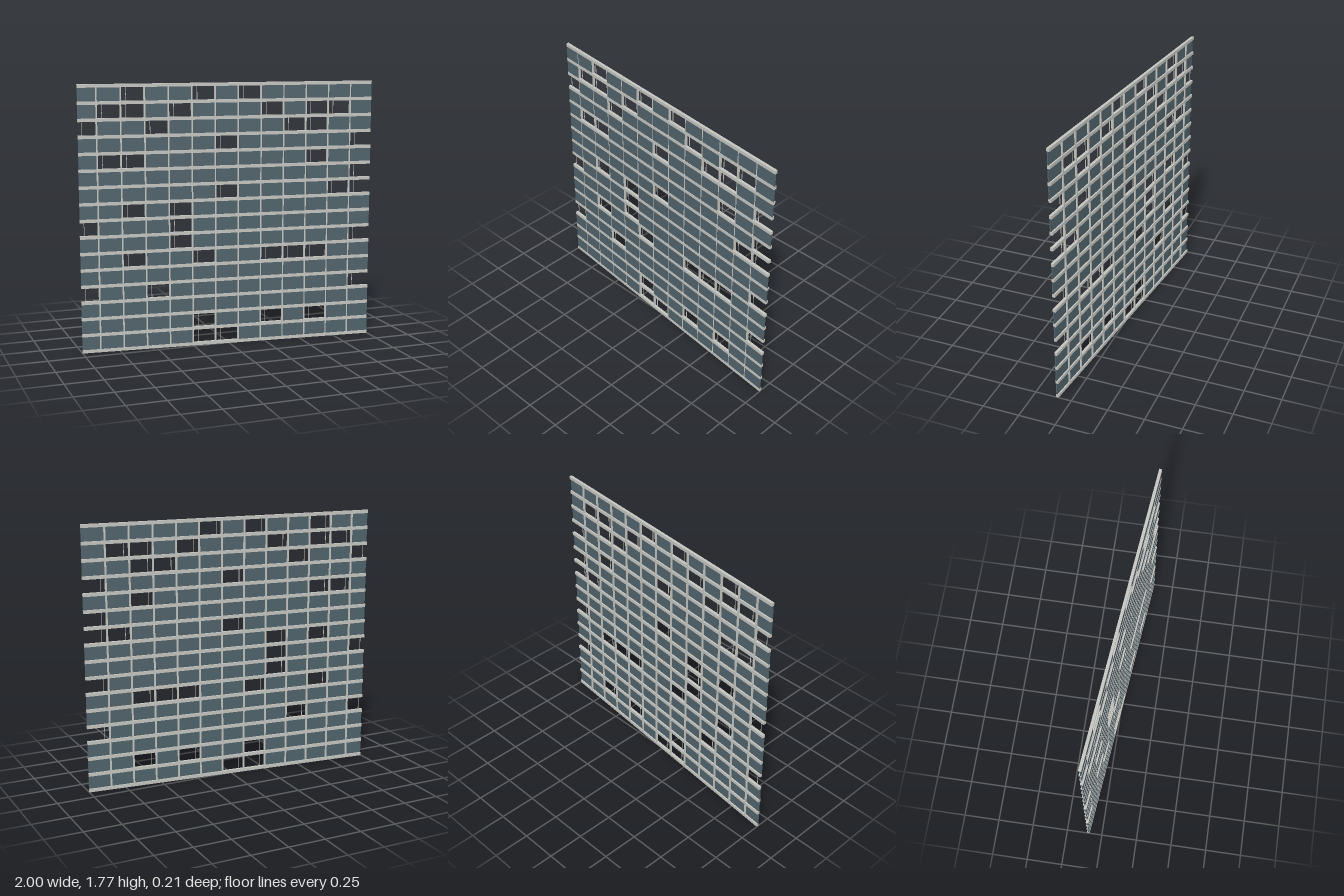
import * as THREE from 'three';

const concrete = new THREE.MeshStandardMaterial({ color: 0xc4c4c0 });
concrete.name = 'light grey concrete';
const glass = new THREE.MeshStandardMaterial({ color: 0x50636b });
glass.name = 'blue grey glass';

const ROWS = 16, COLS = 13;
const HEIGHT = 1.775, SLAB_H = 0.022, DEPTH = 0.019;
const STEP_Y = (HEIGHT - SLAB_H) / ROWS;
const ANGLE = Math.atan(0.098);

// Open bays for each storey, listed from the top down
const OPEN_BAYS = [
  [2, 5, 7], [1, 2, 4, 8, 10, 11], [0, 3, 9, 10], [6, 12],
  [1, 2, 10], [12], [6, 11, 12], [2, 4],
  [0, 4], [4, 12], [2, 5, 8, 9, 10], [],
  [0, 3, 12], [], [5, 8, 10], [5, 6],
];

export function createModel() {
  const model = new THREE.Group();
  model.name = 'facade';
  const wall = new THREE.Group();
  wall.name = 'facadeWall';
  wall.rotation.y = -ANGLE;
  model.add(wall);

  const half = (1 - Math.sin(ANGLE) * DEPTH / 2) / Math.cos(ANGLE);

  function addBox(name, material, w, h, d, x, y, z) {
    const mesh = new THREE.Mesh(new THREE.BoxGeometry(w, h, d), material);
    mesh.name = name;
    mesh.position.set(x, y, z);
    wall.add(mesh);
  }

  // Bay edges: a short first and last bay around evenly spaced mullions
  const edges = [-half];
  for (let i = 0; i < COLS - 1; i++) edges.push(-0.882 + i * 0.1577);
  edges.push(half);

  // Floor slabs
  for (let i = 0; i <= ROWS; i++) {
    addBox('floorSlab', concrete, half * 2, SLAB_H, DEPTH, 0, SLAB_H / 2 + i * STEP_Y, 0);
  }

  const clearH = STEP_Y - SLAB_H;
  for (let r = 0; r < ROWS; r++) {
    const y = SLAB_H / 2 + (ROWS - r - 0.5) * STEP_Y;

    // Mullions between the bays, standing behind the glass line
    for (let c = 1; c < COLS; c++) {
      addBox('mullion', concrete, 0.011, clearH, 0.0125, edges[c], y, -0.0027);
    }

    for (let c = 0; c < COLS; c++) {
      const left = edges[c] + (c > 0 ? 0.0055 : 0);
      const right = edges[c + 1] - (c < COLS - 1 ? 0.0055 : 0);
      if (OPEN_BAYS[r].includes(c)) {
        // Slim bar left standing in an open bay
        const x = c === 0 ? -half + 0.028 : edges[c] + 0.035;
        addBox('slimBar', concrete, 0.003, clearH, 0.003, x, y, 0);
      } else {
        addBox('windowPane', glass, right - left, clearH, 0.007, (left + right) / 2, y, 0.0035);
      }
    }
  }
  return model;
}
